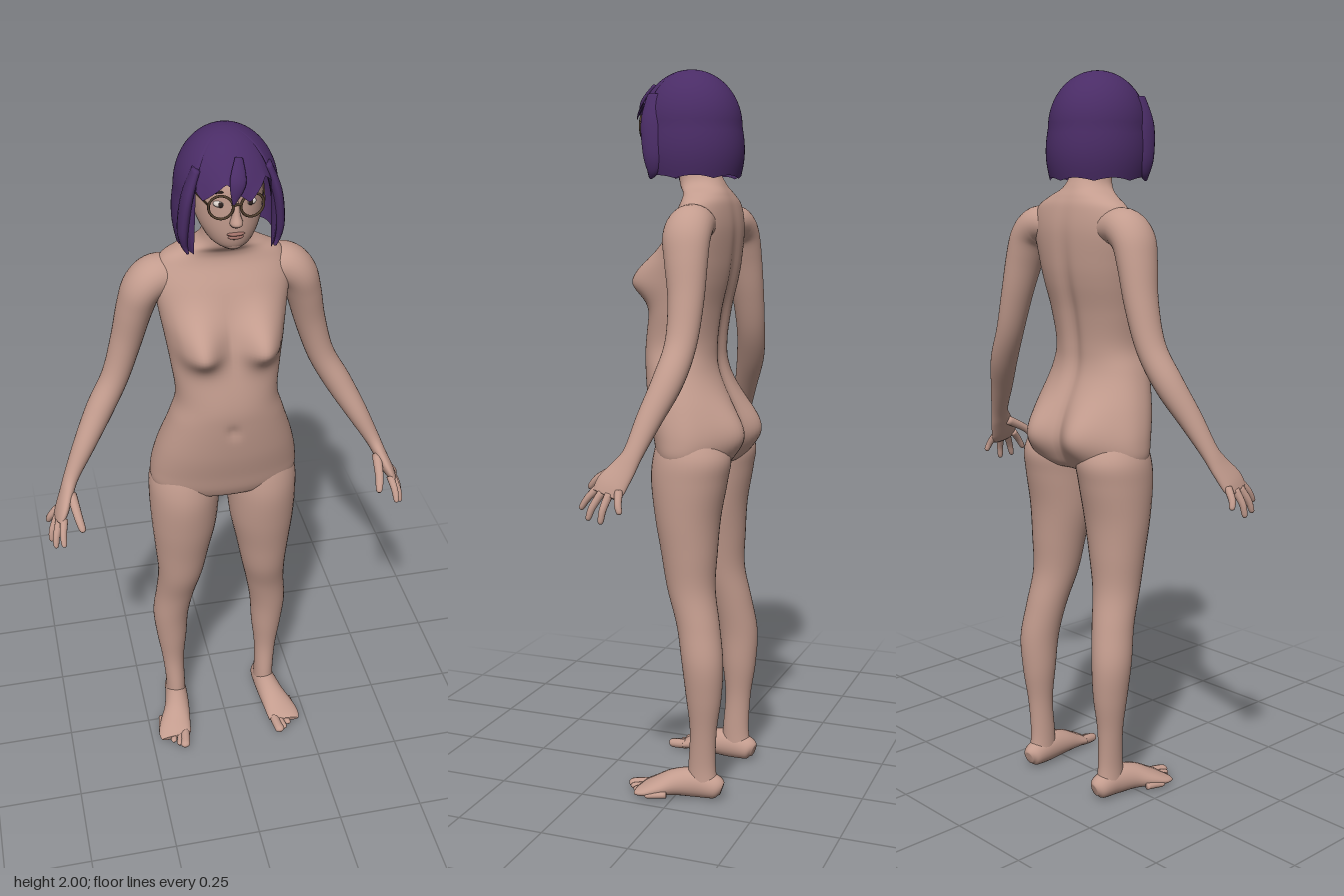
import * as THREE from 'three';

const paint = (name, color, side = THREE.FrontSide) => {
  const m = new THREE.MeshStandardMaterial({ color, side });
  m.name = name;
  return m;
};

// Catmull-Rom blend between rows of numbers
function sampleRows(rows, t) {
  const f = t * (rows.length - 1), i = Math.min(Math.floor(f), rows.length - 2), u = f - i;
  const at = k => rows[Math.max(0, Math.min(rows.length - 1, k))];
  return rows[0].map((_, c) => {
    const [a, b, d, e] = [at(i - 1)[c], at(i)[c], at(i + 1)[c], at(i + 2)[c]];
    return b + 0.5 * u * (d - a + u * (2 * a - 5 * b + 4 * d - e + u * (3 * (b - d) + e - a)));
  });
}

// Closed grid of rings; point(i, j) gives each vertex
function ringMesh(rings, segs, point) {
  const pos = [], index = [];
  for (let i = 0; i < rings; i++) for (let j = 0; j < segs; j++) pos.push(...point(i, j));
  for (let i = 0; i < rings - 1; i++) for (let j = 0; j < segs; j++) {
    const a = i * segs + j, b = i * segs + (j + 1) % segs;
    index.push(a, b, a + segs, b, b + segs, a + segs);
  }
  const g = new THREE.BufferGeometry();
  g.setAttribute('position', new THREE.Float32BufferAttribute(pos, 3));
  g.setIndex(index);
  g.computeVertexNormals();
  return g;
}

// Smooth loft through rows [x, y, z, half width, half depth]; flat keeps rings level
function loft(rows, { segs = 28, steps = 6, flat = false, ref = [0, 0, 1], power = 2, deform } = {}) {
  const n = (rows.length - 1) * steps;
  const frames = [];
  for (let k = 0; k <= n; k++) {
    const r = sampleRows(rows, k / n);
    const p = sampleRows(rows, Math.max(0, k - 0.5) / n), q = sampleRows(rows, Math.min(n, k + 0.5) / n);
    const T = flat ? new THREE.Vector3(0, -1, 0)
      : new THREE.Vector3(q[0] - p[0], q[1] - p[1], q[2] - p[2]).normalize();
    const B = new THREE.Vector3(...ref);
    B.addScaledVector(T, -B.dot(T)).normalize();
    frames.push({ r, B, N: new THREE.Vector3().crossVectors(B, T) });
  }
  const round = v => Math.sign(v) * Math.abs(v) ** (2 / power);
  return ringMesh(n + 3, segs, (i, j) => {
    const { r, B, N } = frames[Math.max(0, Math.min(n, i - 1))];
    const s = i === 0 || i === n + 2 ? 0 : 1, a = j / segs * Math.PI * 2;
    const v = new THREE.Vector3(r[0], r[1], r[2])
      .addScaledVector(N, s * r[3] * round(Math.cos(a))).addScaledVector(B, s * r[4] * round(Math.sin(a)));
    if (deform) deform(v, s * Math.sin(a));
    return v.toArray();
  });
}

const bell = (d, w) => Math.exp(-(d * d) / (w * w));

// Chest, seat and spine relief
function torsoRelief(v, facing) {
  const x = Math.abs(v.x), f = Math.min(1, Math.abs(facing) * 1.6);
  if (facing > 0) {
    v.z += f * 0.074 * bell(x - 0.085, 0.058) * bell(v.y - 1.44, v.y < 1.44 ? 0.05 : 0.075);
    v.z -= f * 0.008 * bell(v.x, 0.015) * bell(v.y - 1.19, 0.02);
  } else {
    v.z -= f * 0.045 * bell(x - 0.085, 0.065) * bell(v.y - 1.03, 0.085);
    v.z += f * 0.014 * bell(v.x, 0.025) * bell(v.y - 1.3, 0.25);
  }
}

const TORSO = [
  [0, 1.79, 0.0, 0.048, 0.052], [0, 1.73, -0.012, 0.052, 0.057], [0, 1.695, -0.024, 0.068, 0.062],
  [0, 1.67, -0.04, 0.115, 0.06], [0, 1.64, -0.045, 0.16, 0.066], [0, 1.58, -0.035, 0.178, 0.084],
  [0, 1.5, -0.02, 0.168, 0.096], [0, 1.44, -0.008, 0.158, 0.1], [0, 1.36, 0.013, 0.146, 0.104],
  [0, 1.27, 0.026, 0.137, 0.106], [0, 1.2, 0.023, 0.156, 0.106], [0, 1.1, 0.0, 0.188, 0.115],
  [0, 1.02, -0.017, 0.205, 0.113], [0, 0.965, -0.018, 0.202, 0.1], [0, 0.935, -0.018, 0.16, 0.08],
  [0, 0.922, -0.018, 0.06, 0.035]];
const LEG = [
  [0.1, 1.04, -0.02, 0.08, 0.08], [0.108, 0.97, -0.03, 0.1, 0.107], [0.112, 0.9, -0.024, 0.1, 0.106],
  [0.115, 0.8, -0.021, 0.093, 0.091], [0.121, 0.7, -0.027, 0.079, 0.078], [0.127, 0.6, -0.035, 0.066, 0.067],
  [0.14, 0.5, -0.06, 0.058, 0.06], [0.153, 0.4, -0.077, 0.054, 0.058], [0.152, 0.3, -0.081, 0.046, 0.05],
  [0.15, 0.2, -0.079, 0.034, 0.038], [0.146, 0.1, -0.074, 0.03, 0.039], [0.146, 0.04, -0.076, 0.032, 0.044]];
const FOOT = [
  [0.142, 0.03, -0.132, 0.014, 0.018], [0.144, 0.035, -0.115, 0.03, 0.033], [0.147, 0.042, -0.06, 0.035, 0.042],
  [0.156, 0.038, 0, 0.04, 0.037], [0.17, 0.026, 0.05, 0.048, 0.025], [0.178, 0.017, 0.085, 0.05, 0.016],
  [0.178, 0.013, 0.1, 0.042, 0.01]];
const ARM = [
  [0.11, 1.59, -0.05, 0.045, 0.05], [0.165, 1.59, -0.05, 0.054, 0.061], [0.203, 1.56, -0.051, 0.052, 0.064],
  [0.225, 1.5, -0.058, 0.048, 0.058], [0.25, 1.4, -0.067, 0.042, 0.048], [0.285, 1.29, -0.066, 0.037, 0.042],
  [0.334, 1.2, -0.05, 0.037, 0.041], [0.385, 1.11, -0.02, 0.03, 0.034], [0.428, 1.03, 0.005, 0.021, 0.027],
  [0.447, 0.99, 0.025, 0.018, 0.034], [0.466, 0.95, 0.05, 0.016, 0.043], [0.478, 0.925, 0.06, 0.011, 0.038]];
// Digits: base, middle, tip
const FINGERS = [
  [[0.435, 0.99, 0.04], [0.427, 0.96, 0.098], [0.418, 0.928, 0.133]],
  [[0.464, 0.943, 0.085], [0.471, 0.915, 0.112], [0.473, 0.884, 0.133]],
  [[0.476, 0.932, 0.072], [0.489, 0.896, 0.092], [0.494, 0.862, 0.104]],
  [[0.48, 0.93, 0.05], [0.497, 0.893, 0.06], [0.503, 0.857, 0.065]],
  [[0.477, 0.938, 0.025], [0.497, 0.91, 0.019], [0.505, 0.886, 0.011]]];
const HEAD = [
  [0, 1.965, 0.01, 0.03, 0.04], [0, 1.945, 0.013, 0.062, 0.082], [0, 1.9, 0.018, 0.085, 0.113],
  [0, 1.85, 0.024, 0.087, 0.112], [0, 1.8, 0.033, 0.082, 0.103], [0, 1.765, 0.048, 0.068, 0.085],
  [0, 1.74, 0.062, 0.05, 0.063], [0, 1.725, 0.075, 0.025, 0.036]];
const NOSE = [
  [0, 1.865, 0.128, 0.007, 0.008], [0, 1.83, 0.134, 0.01, 0.014], [0, 1.808, 0.137, 0.016, 0.021],
  [0, 1.797, 0.132, 0.011, 0.012]];

// Bob with a face opening and a jagged fringe
function bobGeometry() {
  const segs = 120, rings = 30;
  return ringMesh(rings, segs, (i, j) => {
    const a = j / segs * Math.PI * 2, front = Math.abs(Math.atan2(Math.cos(a), Math.sin(a)));
    const fringe = front < 0.84;
    const saw = Math.abs(((j * 7 / segs) % 1) * 2 - 1);
    const hem = fringe ? 1.868 + 0.045 * saw : 1.712 + 0.008 * Math.abs(Math.sin(a * 4));
    const u = i / (rings - 1);
    const y = 2 - (2 - hem) * (1 - Math.cos(u * Math.PI / 2)) ;
    const h = (y - 1.85) / 0.15;
    const r = h > 0 ? Math.sqrt(Math.max(0, 1 - h * h)) : 1 + 0.06 * Math.sin(Math.min(1, -h) * Math.PI) - 0.06 * h * h;
    const flare = fringe ? 0.012 * u ** 6 : 0;
    return [Math.cos(a) * 0.127 * r, y, 0.013 + Math.sin(a) * (0.14 * r + flare)];
  });
}

export function createModel() {
  const skin = paint('skin', 0xc39c8e);
  const hair = paint('hair', 0x4a2c66, THREE.DoubleSide);
  const frame = paint('frame', 0x4e3c2c);
  const white = paint('eyeWhite', 0xd8cfc8);
  const dark = paint('dark', 0x2e2220);
  const lip = paint('lip', 0x9e6f66);

  const model = new THREE.Group();
  model.name = 'figure';
  const add = (name, geometry, material, parent = model) => {
    const mesh = new THREE.Mesh(geometry, material);
    mesh.name = name;
    parent.add(mesh);
    return mesh;
  };
  const group = name => {
    const g = new THREE.Group();
    g.name = name;
    model.add(g);
    return g;
  };
  const ball = (name, material, parent, p, s) => {
    const m = add(name, new THREE.SphereGeometry(1, 20, 14), material, parent);
    m.position.set(...p);
    m.scale.set(...s);
  };

  add('torso', loft(TORSO, { segs: 96, steps: 8, flat: true, power: 2.2, deform: torsoRelief }), skin);

  // Head and face
  const head = group('head');
  add('skull', loft(HEAD, { segs: 40, flat: true }), skin, head);
  add('nose', loft(NOSE, { segs: 16, flat: true }), skin, head);
  ball('upperLip', lip, head, [0, 1.777, 0.133], [0.022, 0.005, 0.008]);
  ball('lowerLip', lip, head, [0, 1.768, 0.131], [0.019, 0.006, 0.008]);
  ball('chin', skin, head, [0, 1.742, 0.105], [0.025, 0.017, 0.02]);

  // Hair
  const hairGroup = group('hair');
  add('bob', bobGeometry(), hair, hairGroup);
  add('centreLock', loft([[0.01, 1.96, 0.115, 0.01, 0.006], [0, 1.915, 0.152, 0.02, 0.008],
    [-0.012, 1.865, 0.16, 0.003, 0.003]], { segs: 12 }), hair, hairGroup);

  const spectacles = group('spectacles');
  const bridge = add('bridge', new THREE.CylinderGeometry(0.003, 0.003, 0.02, 8), frame, spectacles);
  bridge.rotation.z = Math.PI / 2;
  bridge.position.set(0, 1.858, 0.146);

  for (const s of [1, -1]) {
    const label = s > 0 ? 'left' : 'right';
    const mirror = rows => rows.map(([x, ...rest]) => [x * s, ...rest]);

    // Leg, foot and toes
    const leg = group(label + 'Leg');
    add('leg', loft(mirror(LEG), { flat: true, segs: 36 }), skin, leg);
    add('foot', loft(mirror(FOOT), { ref: [0, 1, 0] }), skin, leg);
    for (let k = 0; k < 5; k++) {
      const x = 0.15 + k * 0.016, tip = 0.143 - k * 0.008 - k * k * 0.0025, r = k ? 0.009 : 0.014;
      add('toe', loft(mirror([[x - 0.005, 0.018, tip - 0.06, r, r], [x, 0.014, tip - 0.025, r, r],
        [x + 0.004, 0.012, tip - 0.007, r, r * 0.85], [x + 0.005, 0.01, tip, r * 0.4, r * 0.4]]),
      { segs: 12, steps: 4, ref: [0, 1, 0] }), skin, leg);
    }

    // Arm, hand and fingers
    const arm = group(label + 'Arm');
    add('arm', loft(mirror(ARM), { segs: 32 }), skin, arm);
    FINGERS.forEach(([a, b, c], k) => {
      const r = k ? 0.0095 : 0.012;
      const near = b.map((v, i) => v + (c[i] - v) * 0.8);
      add(k ? 'finger' : 'thumb', loft(mirror([[...a, r * 1.15, r * 1.15], [...b, r, r],
        [...near, r * 0.8, r * 0.8], [...c, r * 0.35, r * 0.35]]), { segs: 12, steps: 4, ref: [1, 0, 0] }), skin, arm);
    });

    // Eye, brow and spectacle side
    ball('eye', white, head, [s * 0.036, 1.853, 0.118], [0.016, 0.009, 0.013]);
    ball('iris', dark, head, [s * 0.036, 1.853, 0.129], [0.006, 0.007, 0.004]);
    ball('brow', dark, head, [s * 0.038, 1.884, 0.124], [0.02, 0.003, 0.005]);
    const rim = add('rim', new THREE.TorusGeometry(0.029, 0.0032, 8, 36), frame, spectacles);
    rim.position.set(s * 0.038, 1.852, 0.14);
    rim.rotation.y = s * 0.18;
    const temple = add('temple', new THREE.BoxGeometry(0.004, 0.005, 0.12), frame, spectacles);
    temple.position.set(s * 0.08, 1.86, 0.076);
    temple.rotation.y = -s * 0.2;

    // Lock beside the cheek
    add('sideLock', loft(mirror([[0.085, 1.93, 0.085, 0.01, 0.02], [0.108, 1.86, 0.085, 0.014, 0.03],
      [0.118, 1.78, 0.078, 0.014, 0.028], [0.116, 1.735, 0.078, 0.009, 0.018], [0.108, 1.712, 0.088, 0.003, 0.004]]),
    { segs: 16 }), hair, hairGroup);
  }
  return model;
}
